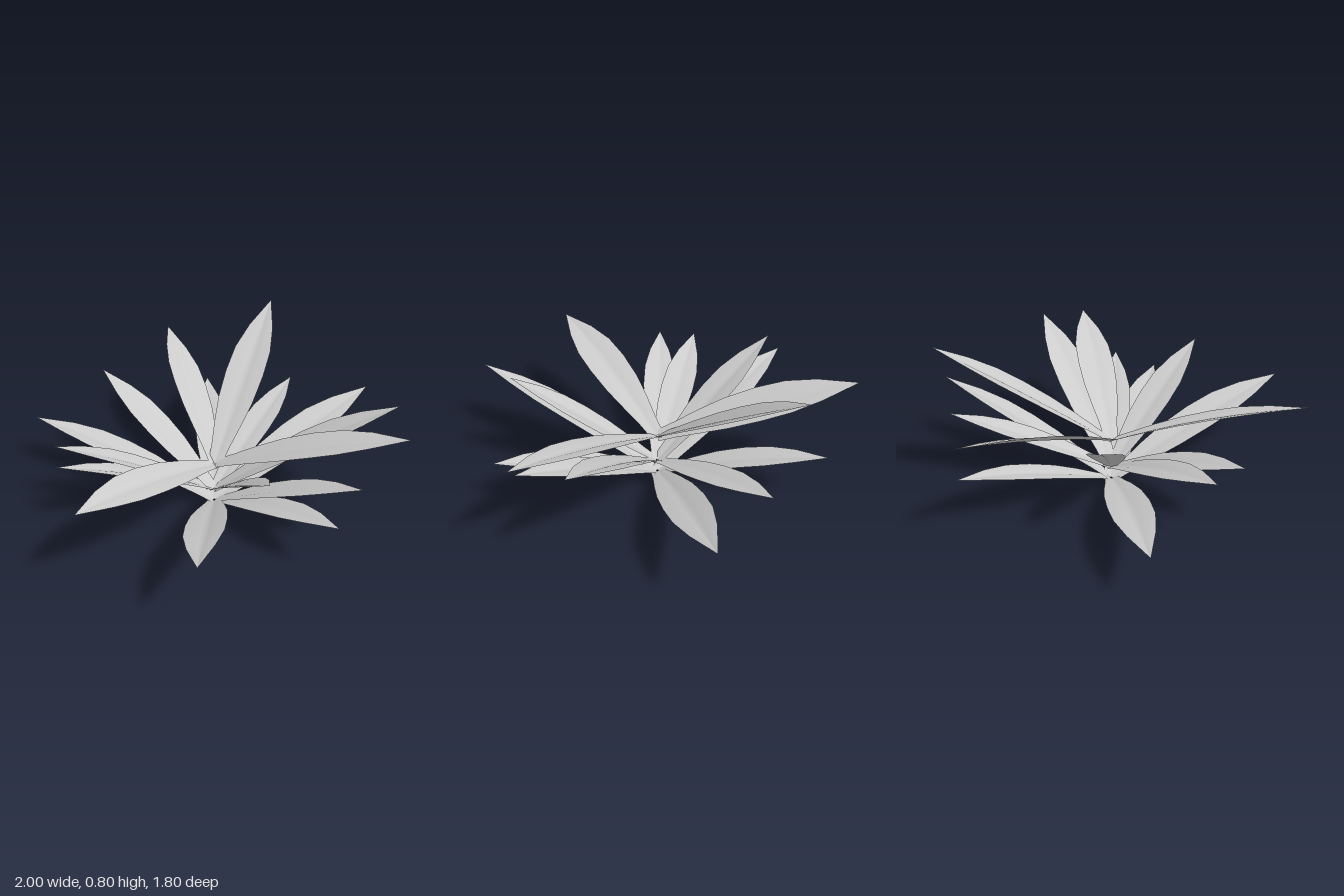
import * as THREE from 'three';

const material = new THREE.MeshStandardMaterial({ color: 0xcccccc, side: THREE.DoubleSide });

// leaf outline: [position along the leaf, share of full half width]
const OUTLINE = [[0, 0.35], [0.1, 0.48], [0.22, 0.7], [0.36, 0.91], [0.52, 1], [0.67, 0.95], [0.82, 0.64], [1, 0.015]];
// cross-section: [position across, lift as share of half width], a shallow fluted channel
const SECTION = [[-1, 0.16], [-0.55, 0.12], [-0.2, 0.06], [0, 0], [0.2, 0.06], [0.55, 0.12], [1, 0.16]];

const CENTRE = new THREE.Vector3(0.05, 0, -0.06);
const ROOT_RADIUS = 0.005;

// roll turns the blade about its own length
function leafGeometry(tip, rootY, halfWidth, arch, roll) {
  const out = new THREE.Vector3(tip.x - CENTRE.x, 0, tip.z - CENTRE.z).normalize();
  const root = CENTRE.clone().addScaledVector(out, ROOT_RADIUS).setY(rootY);
  const along = tip.clone().sub(root).normalize();
  const level = new THREE.Vector3(out.z, 0, -out.x);
  const rise = new THREE.Vector3().crossVectors(along, level);
  const across = level.clone().applyAxisAngle(along, roll);
  const up = rise.clone().applyAxisAngle(along, roll);
  const positions = [], index = [], n = SECTION.length;
  OUTLINE.forEach(([t, share], row) => {
    const mid = root.clone().lerp(tip, t).addScaledVector(rise, arch * 4 * t * (1 - t));
    const w = halfWidth * share;
    SECTION.forEach(([u, lift], col) => {
      const p = mid.clone().addScaledVector(across, u * w).addScaledVector(up, lift * w);
      positions.push(p.x, Math.max(0, p.y), p.z);
      if (row && col) {
        const d = row * n + col, c = d - 1, b = d - n, a = b - 1;
        index.push(a, c, b, b, c, d);
      }
    });
  });
  const g = new THREE.BufferGeometry();
  g.setAttribute('position', new THREE.Float32BufferAttribute(positions, 3));
  g.setIndex(index);
  g.computeVertexNormals();
  return g;
}

// whorls of leaves, each leaf as tip x, y, z, half width, arch, roll
const WHORLS = [
  { name: 'upperLeaf', rootY: 0.235, leaves: [
    [0.05, 0.81, -0.9, 0.104, 0.01, 0],
    [-0.54, 0.59, -0.81, 0.1, 0.02, 0.38],
    [1, 0.59, -0.08, 0.1, 0.025, 0.15],
    [-0.22, 0.48, 0.87, 0.1, 0.03, -0.22],
  ] },
  { name: 'middleLeaf', rootY: 0.08, leaves: [
    [0.9, 0.62, -0.32, 0.1, 0.025, 0.05],
    [-0.65, 0.57, -0.21, 0.09, 0.01, 0],
    [0.51, 0.57, 0.48, 0.09, 0.01, 0.1],
    [-0.56, 0.38, 0.46, 0.085, 0.025, 0.15],
    [-0.67, 0.38, 0.3, 0.085, 0.025, 0.15],
    [0.2, 0.38, -0.86, 0.085, 0.015, 0],
  ] },
  { name: 'lowerLeaf', rootY: 0.01, leaves: [
    [0.63, 0.39, -0.89, 0.1, 0.02, 0.24],
    [-0.3, 0.29, -0.83, 0.085, 0.03, 0],
    [-1, 0.28, -0.06, 0.1, 0.035, 0.1],
    [0.84, 0.38, 0.09, 0.09, 0.025, 0],
    [0.79, 0.3, 0.31, 0.09, 0.03, 0],
    [0.35, 0.4, 0.9, 0.1, 0.025, 0.22],
  ] },
];

export function createModel() {
  const plant = new THREE.Group();
  plant.name = 'leafRosette';
  for (const { name, rootY, leaves } of WHORLS) {
    const whorl = new THREE.Group();
    whorl.name = name + 'Whorl';
    leaves.forEach(([x, y, z, halfWidth, arch, roll], i) => {
      const leaf = new THREE.Mesh(leafGeometry(new THREE.Vector3(x, y, z), rootY, halfWidth, arch, roll), material);
      leaf.name = name + (i + 1);
      whorl.add(leaf);
    });
    plant.add(whorl);
  }
  return plant;
}
